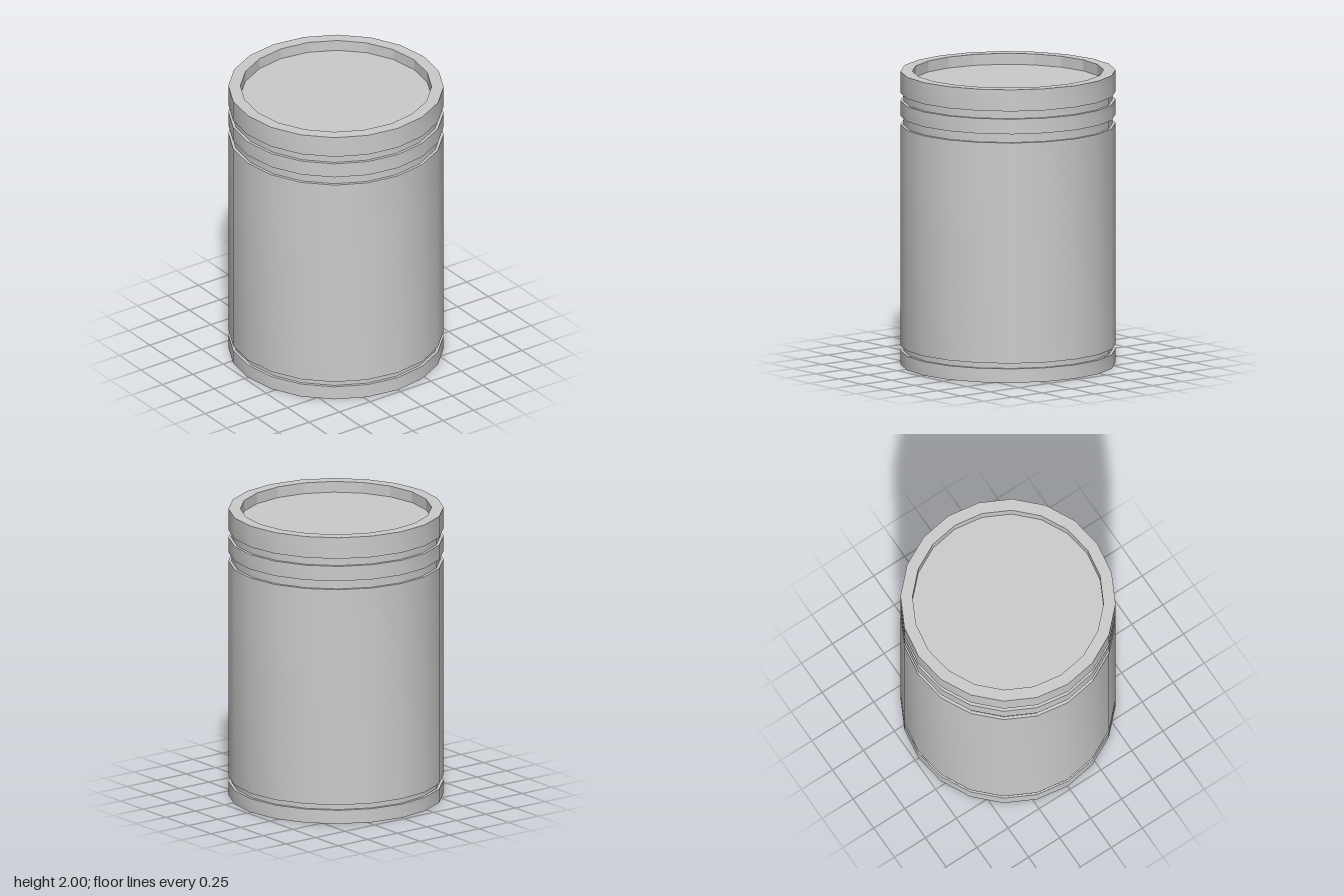
import * as THREE from 'three';
import { toCreasedNormals } from 'three/addons/utils/BufferGeometryUtils.js';

const SIDES = 20;
const HEIGHT = 2;
const OUTER = 0.723;
const GROOVE = 0.703;
const INNER = 0.642;
const RECESS = 0.075;

// [bottom, top] heights of the square-cut grooves
const GROOVES = [[0.095, 0.132], [1.637, 1.697], [1.8, 1.853]];

export function createModel() {
  const group = new THREE.Group();
  group.name = 'canister';
  const smooth = new THREE.MeshStandardMaterial({ color: 0xcccccc });
  const faceted = new THREE.MeshStandardMaterial({ color: 0xcccccc, flatShading: true, side: THREE.BackSide });

  const add = (name, geometry, material, y = 0) => {
    const mesh = new THREE.Mesh(geometry, material);
    mesh.name = name;
    mesh.position.y = y;
    group.add(mesh);
    return mesh;
  };

  // Outer shell: lower rim, grooved wall, upper rim
  const profile = [[INNER, 0], [OUTER, 0]];
  for (const [low, high] of GROOVES) {
    profile.push([OUTER, low], [GROOVE, low], [GROOVE, high], [OUTER, high]);
  }
  profile.push([OUTER, HEIGHT], [INNER, HEIGHT]);
  const shell = new THREE.LatheGeometry(profile.map(([r, y]) => new THREE.Vector2(r, y)), SIDES);
  add('shell', toCreasedNormals(shell, Math.PI / 6), smooth);

  // Shallow recess at each end: inward-facing wall and flat panel
  for (const [end, dir] of [['top', 1], ['bottom', -1]]) {
    const rimY = dir > 0 ? HEIGHT : 0;
    const wall = new THREE.CylinderGeometry(INNER, INNER, RECESS, SIDES, 1, true);
    add(end + 'RecessWall', wall, faceted, rimY - dir * RECESS / 2);
    const panel = add(end + 'Panel', new THREE.CircleGeometry(INNER, SIDES), smooth, rimY - dir * RECESS);
    panel.rotation.x = -dir * Math.PI / 2;
  }
  return group;
}
